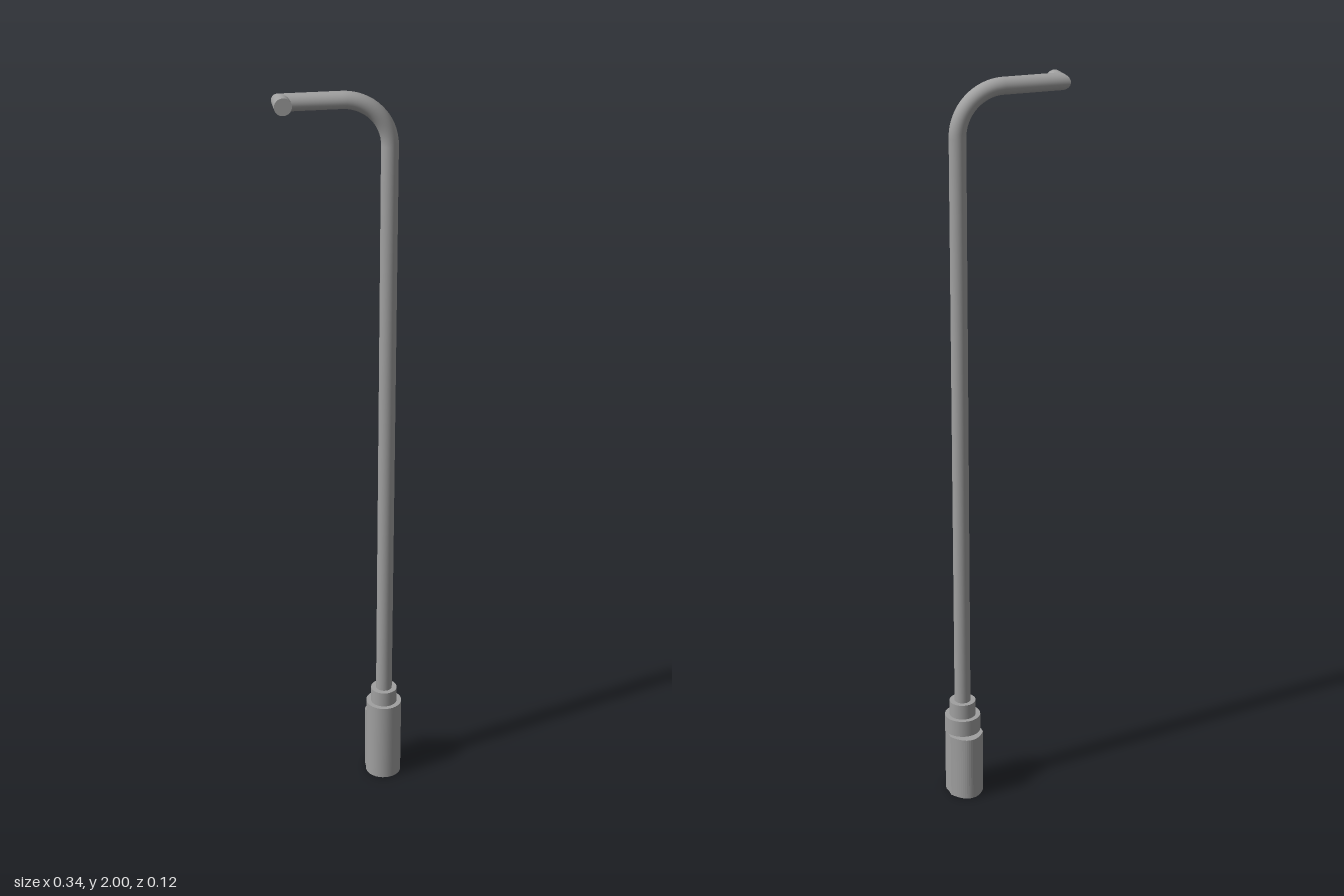
import * as THREE from 'three';

const SIDES = 32;
const POLE_X = 0.12, POLE_Z = 0.011, R = 0.022;
const BEND = 0.12, TOP_Y = 1.977, TIP_X = -0.148;

// Skins a loop of elliptical sections, each { c: centre, u, v: axes }
function skin(sections) {
  const pos = [], index = [];
  sections.forEach(({ c, u, v }, i) => {
    for (let j = 0; j < SIDES; j++) {
      const a = (j / SIDES) * Math.PI * 2;
      for (let k = 0; k < 3; k++) pos.push(c[k] + R * (u[k] * Math.cos(a) + v[k] * Math.sin(a)));
      if (i === sections.length - 1) continue;
      const p = i * SIDES + j, q = i * SIDES + ((j + 1) % SIDES);
      index.push(p, p + SIDES, q, q, p + SIDES, q + SIDES);
    }
  });
  const geo = new THREE.BufferGeometry();
  geo.setAttribute('position', new THREE.Float32BufferAttribute(pos, 3));
  geo.setIndex(index);
  geo.computeVertexNormals();
  return geo;
}

export function createModel() {
  const model = new THREE.Group();
  model.name = 'bentPole';
  const grey = new THREE.MeshStandardMaterial({ name: 'grey metal', color: 0xa0a0a0 });

  const add = (name, geo, x = 0, y = 0, z = 0) => {
    const mesh = new THREE.Mesh(geo, grey);
    mesh.name = name;
    mesh.position.set(x, y, z);
    model.add(mesh);
    return mesh;
  };
  const drum = (name, r, y0, y1) =>
    add(name, new THREE.CylinderGeometry(r, r, y1 - y0, SIDES), POLE_X, (y0 + y1) / 2, POLE_Z);

  // Stepped round base
  drum('baseSleeve', 0.049, 0, 0.232);
  drum('collar', 0.036, 0.232, 0.275);

  // Rounded housing on the back of the base (shape y points to -z)
  const s = new THREE.Shape();
  s.moveTo(-0.047, -0.011);
  s.lineTo(0.047, -0.011);
  s.lineTo(0.047, 0.025);
  s.bezierCurveTo(0.035, 0.044, 0.02, 0.061, 0, 0.061);
  s.bezierCurveTo(-0.02, 0.061, -0.035, 0.044, -0.047, 0.025);
  s.closePath();
  const housing = new THREE.ExtrudeGeometry(s, { depth: 0.185, bevelEnabled: false, curveSegments: 10 });
  housing.rotateX(-Math.PI / 2);
  add('backHousing', housing, POLE_X, 0, 0);

  // Upright, bend and arm, ending in a mitred corner
  const pole = [{ c: [POLE_X, 0.26, POLE_Z], u: [1, 0, 0], v: [0, 0, 1] }];
  for (let i = 0; i <= 16; i++) {
    const a = (i / 16) * Math.PI / 2, cos = Math.cos(a), sin = Math.sin(a);
    pole.push({
      c: [POLE_X - BEND + BEND * cos, TOP_Y - BEND + BEND * sin, POLE_Z],
      u: [cos, sin, 0], v: [0, 0, 1],
    });
  }
  const mitre = { c: [TIP_X, TOP_Y, POLE_Z], u: [0, 1, 0], v: [1, 0, 1] };
  pole.push(mitre);
  add('pole', skin(pole));

  // Short outlet turned to the front
  const tipZ = 0.049;
  add('outlet', skin([mitre, { c: [TIP_X, TOP_Y, tipZ], u: [0, 1, 0], v: [1, 0, 0] }]));
  add('outletCap', new THREE.CircleGeometry(R, SIDES), TIP_X, TOP_Y, tipZ);

  return model;
}
